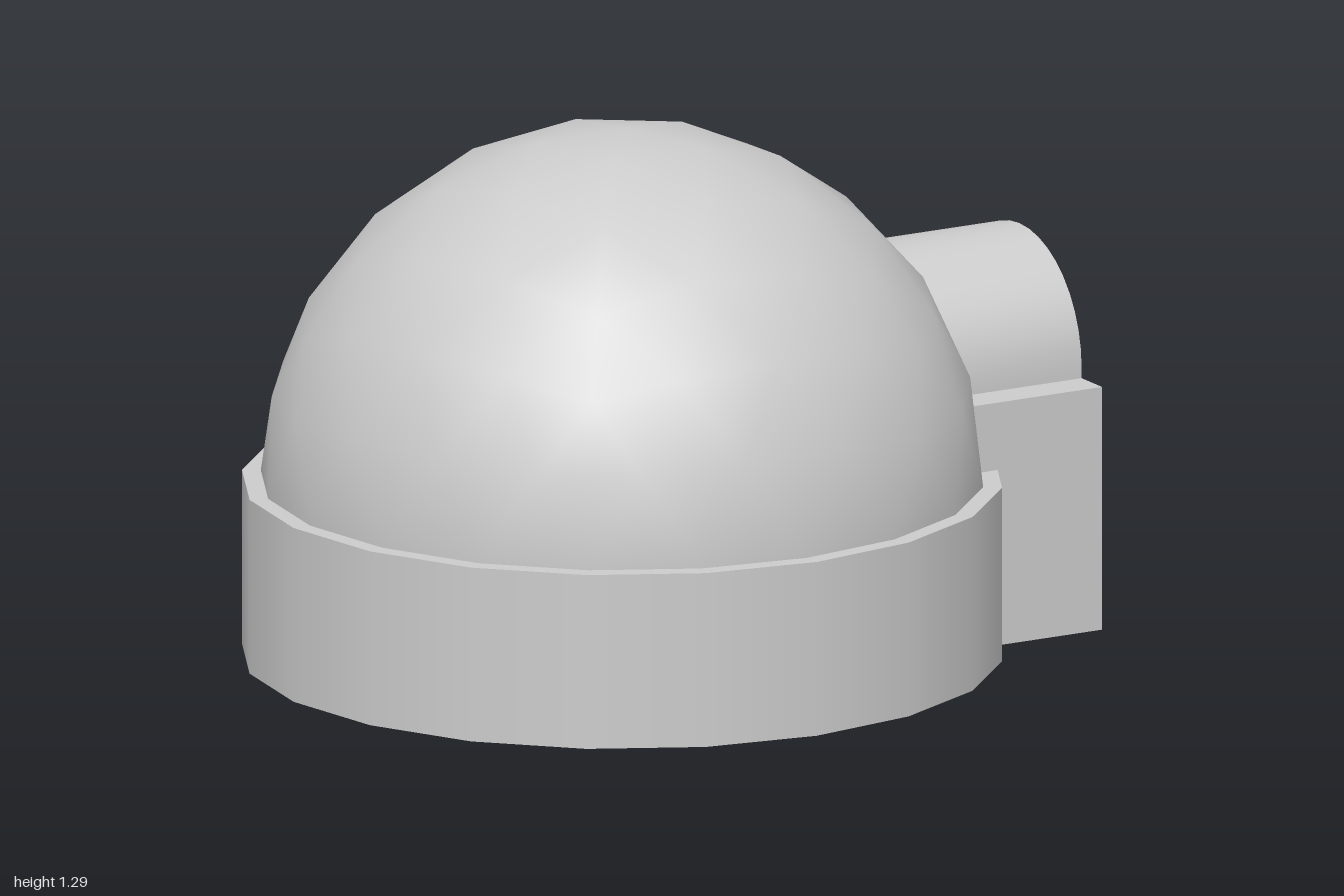
import * as THREE from 'three';
import { toCreasedNormals } from 'three/addons/utils/BufferGeometryUtils.js';

const CX = -0.095;      // dome axis
const WALL_TOP = 0.43;
const DOME_R = 0.86;

function domeGeometry() {
  // Icosphere turned so a corner is the pole; its equator is a regular 20-gon
  const g = new THREE.IcosahedronGeometry(DOME_R, 3);
  g.rotateZ(Math.atan(2 / (1 + Math.sqrt(5))));
  g.rotateY(-Math.PI / 2);

  // Keep the upper half only
  const p = g.attributes.position;
  const kept = [];
  for (let i = 0; i < p.count; i += 3) {
    if (p.getY(i) + p.getY(i + 1) + p.getY(i + 2) > 0.001) kept.push(i, i + 1, i + 2);
  }
  g.setIndex(kept);
  return g;
}

function entranceGeometry() {
  // Stepped arch outline with an open doorway
  const s = new THREE.Shape();
  s.moveTo(0.385, 0);
  s.lineTo(0.385, 0.595);
  s.lineTo(0.29, 0.595);
  s.absarc(0, 0.62, 0.29, 0, Math.PI, false);
  s.lineTo(-0.29, 0.595);
  s.lineTo(-0.385, 0.595);
  s.lineTo(-0.385, 0);
  s.lineTo(-0.175, 0);
  s.absarc(0, 0.653, 0.175, Math.PI, 0, true);
  s.lineTo(0.175, 0);
  s.closePath();
  const g = new THREE.ExtrudeGeometry(s, { depth: 0.41, bevelEnabled: false, curveSegments: 10 });
  g.rotateY(Math.PI / 2);
  g.translate(0.59, 0, 0);
  return toCreasedNormals(g, 0.6);
}

export function createModel() {
  const group = new THREE.Group();
  const material = new THREE.MeshStandardMaterial({ color: 0xcccccc });

  const add = (name, geometry, x = 0, y = 0, z = 0) => {
    const mesh = new THREE.Mesh(geometry, material);
    mesh.name = name;
    mesh.position.set(x, y, z);
    group.add(mesh);
  };

  // Round base wall with a narrow ledge around the dome
  const wallHeight = WALL_TOP - 0.004;
  add('baseWall', new THREE.CylinderGeometry(0.905, 0.905, wallHeight, 20), CX, 0.004 + wallHeight / 2);
  add('dome', domeGeometry(), CX, WALL_TOP);

  // Arched entrance on the left side, with its thin floor
  add('entrance', entranceGeometry());
  add('entranceFloor', new THREE.BoxGeometry(0.41, 0.005, 0.35), 0.795, 0.0025);

  return group;
}
